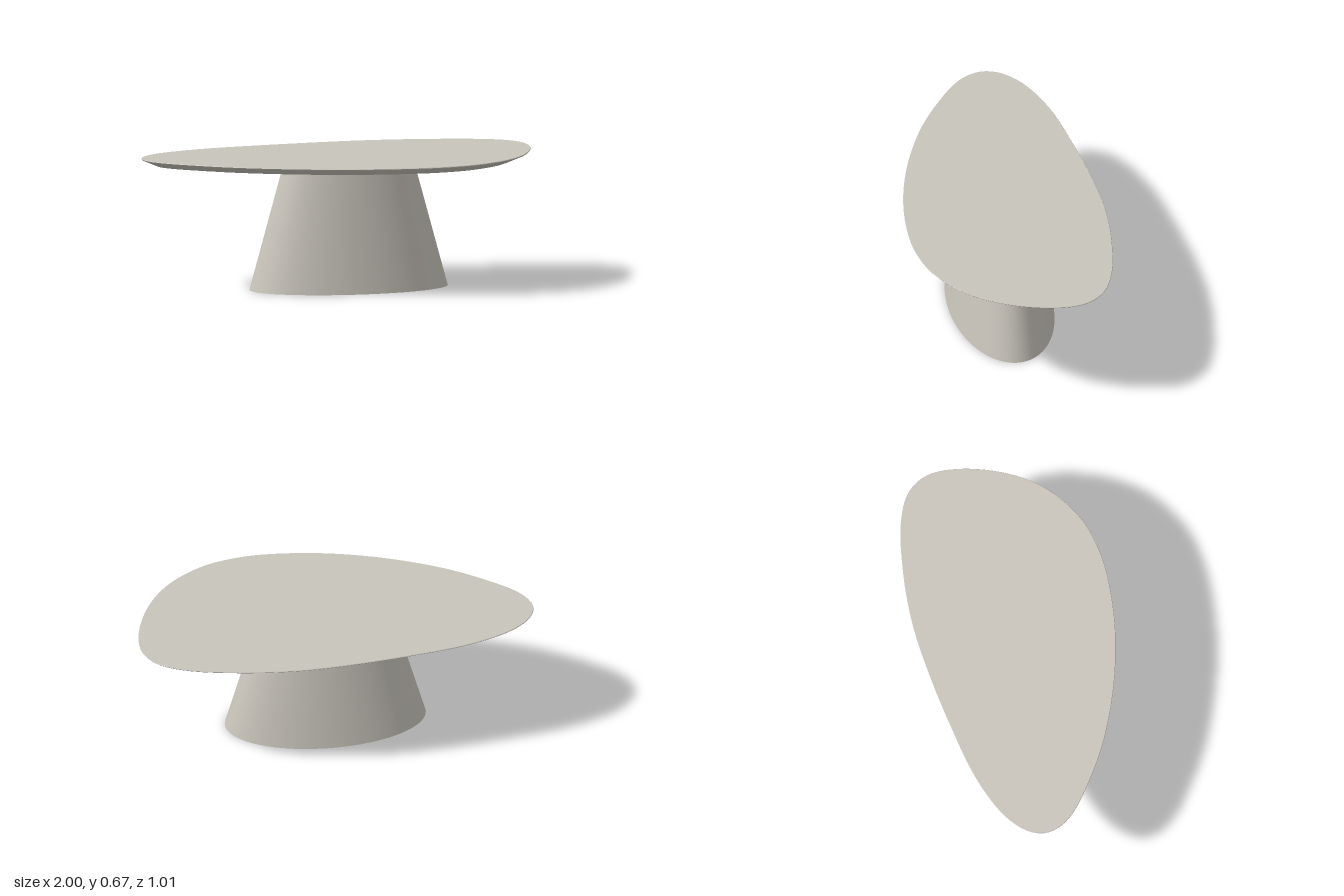
import * as THREE from 'three';
import { toCreasedNormals } from 'three/addons/utils/BufferGeometryUtils.js';

const SEGMENTS = 160;

// Tabletop outline as [x, z], clockwise seen from above
const OUTLINE = [
  [-1, -0.14], [-0.97, -0.22], [-0.87, -0.31], [-0.65, -0.4], [-0.3, -0.463], [0, -0.497],
  [0.24, -0.508], [0.5, -0.488], [0.78, -0.43], [0.92, -0.36], [0.985, -0.27], [1, -0.17],
  [0.965, 0.01], [0.87, 0.21], [0.75, 0.345], [0.58, 0.45], [0.42, 0.492], [0.27, 0.502],
  [0, 0.475], [-0.3, 0.395], [-0.6, 0.262], [-0.8, 0.13], [-0.93, 0.02], [-0.985, -0.06],
];

// Joins cross-section rings from bottom to top, closing both ends with a fan
function loft(rings) {
  const pos = [];
  const centre = (ring) => {
    const c = ring.reduce((sum, p) => sum.add(p), new THREE.Vector3()).divideScalar(ring.length);
    return ring.map(() => c);
  };
  const all = [centre(rings[0]), ...rings, centre(rings[rings.length - 1])];
  const tri = (...points) => points.forEach((p) => pos.push(p.x, p.y, p.z));
  for (let k = 0; k < all.length - 1; k++) {
    const a = all[k], b = all[k + 1];
    for (let i = 0; i < a.length; i++) {
      const j = (i + 1) % a.length;
      if (k > 0) tri(a[i], a[j], b[j]);
      if (k < all.length - 2) tri(a[i], b[j], b[i]);
    }
  }
  // The first band is the bottom fan, the last band the top fan
  const geometry = new THREE.BufferGeometry();
  geometry.setAttribute('position', new THREE.Float32BufferAttribute(pos, 3));
  return toCreasedNormals(geometry, 0.35);
}

export function createModel() {
  const group = new THREE.Group();
  group.name = 'pedestalTable';
  const stone = new THREE.MeshStandardMaterial({ color: 0xc8c4bb });
  stone.name = 'warm grey';

  // Tabletop: pebble outline with a thin rim and a chamfered underside
  const curve = new THREE.CatmullRomCurve3(
    OUTLINE.map(([x, z]) => new THREE.Vector3(x, 0, z)).reverse(), true, 'centripetal');
  const ring = (y, inset) => Array.from({ length: SEGMENTS }, (_, i) => {
    const p = curve.getPointAt(i / SEGMENTS);
    const t = curve.getTangentAt(i / SEGMENTS);
    return new THREE.Vector3(p.x + t.z * inset, y, p.z - t.x * inset);
  });
  const top = new THREE.Mesh(
    loft([ring(0.627, 0.08), ring(0.66, 0.003), ring(0.664, 0), ring(0.667, 0.002)]), stone);
  top.name = 'tabletop';
  group.add(top);

  // Pedestal: tapered elliptical column
  const column = new THREE.CylinderGeometry(0.335, 0.507, 0.627, 96);
  column.scale(1, 1, 0.516);
  column.translate(0.035, 0.3135, -0.01);
  const pedestal = new THREE.Mesh(column, stone);
  pedestal.name = 'pedestal';
  group.add(pedestal);

  return group;
}
